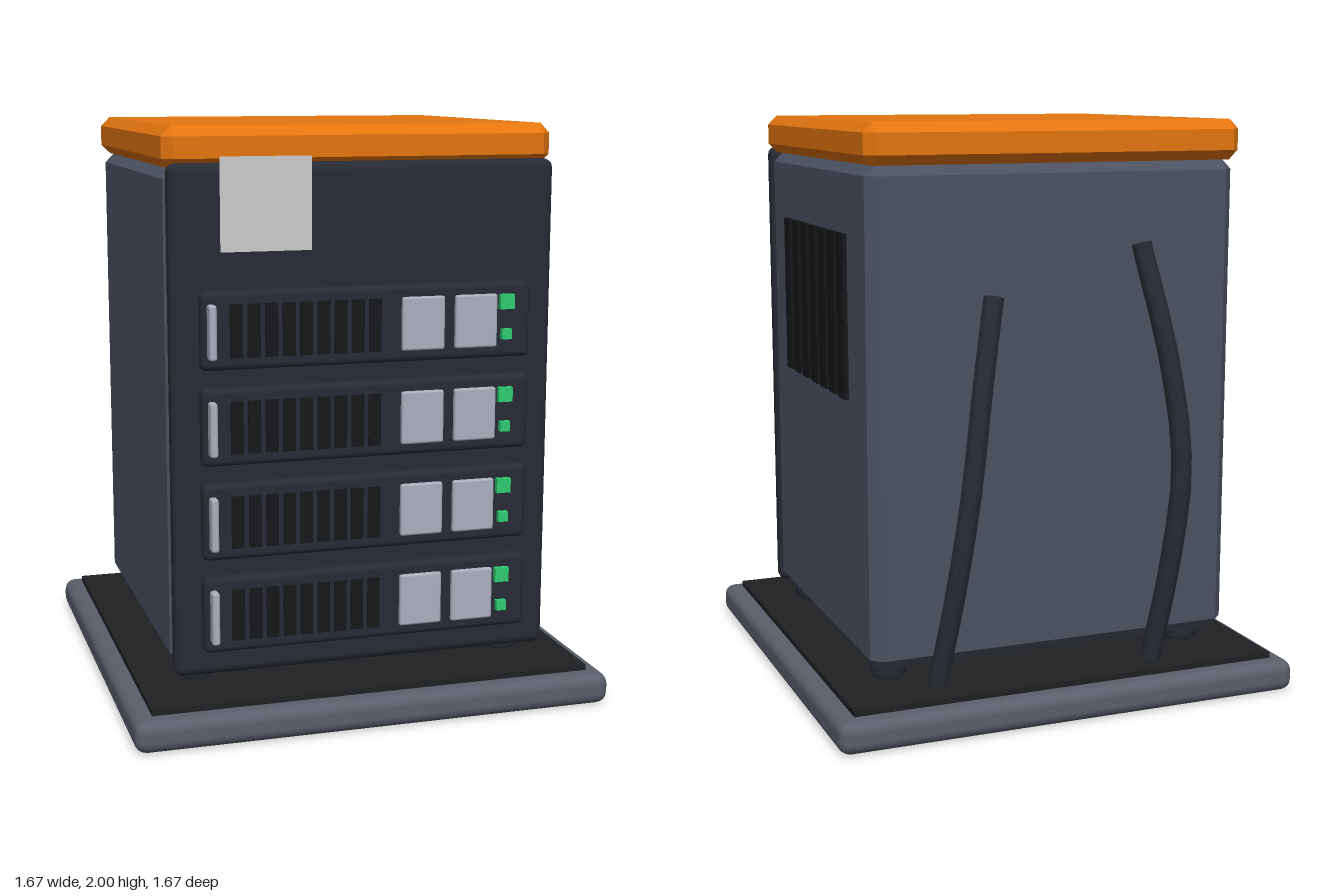
import * as THREE from 'three';
import { RoundedBoxGeometry } from 'three/addons/geometries/RoundedBoxGeometry.js';
import { ConvexGeometry } from 'three/addons/geometries/ConvexGeometry.js';

const mat = (color, side = THREE.FrontSide) => new THREE.MeshStandardMaterial({ color, side });
const M = {
  orange: mat(0xe67610), shell: mat(0x4c5262), dark: mat(0x272b34), base: mat(0x5a5f6b),
  deck: mat(0x1f2023), slot: mat(0x161719), silver: mat(0xabb0bf), green: mat(0x2ecc71),
  plain: mat(0xcccccc, THREE.DoubleSide),
};

// Box with every edge cut at 45 degrees
function chamferBox(w, h, d, c) {
  const pts = [];
  for (const x of [-w / 2, w / 2]) for (const y of [-h / 2, h / 2]) for (const z of [-d / 2, d / 2]) {
    const sx = Math.sign(x) * c, sy = Math.sign(y) * c, sz = Math.sign(z) * c;
    pts.push(new THREE.Vector3(x, y - sy, z - sz), new THREE.Vector3(x - sx, y, z - sz),
      new THREE.Vector3(x - sx, y - sy, z));
  }
  return new ConvexGeometry(pts);
}

function add(parent, name, geometry, material, x = 0, y = 0, z = 0) {
  const mesh = new THREE.Mesh(geometry, material);
  mesh.name = name;
  mesh.position.set(x, y, z);
  parent.add(mesh);
  return mesh;
}

// One drive unit: tray, handle, cooling slots, two covers and two status lights
function driveUnit() {
  const g = new THREE.Group();
  g.name = 'driveUnit';
  add(g, 'tray', new RoundedBoxGeometry(1.14, 0.258, 0.06, 2, 0.02), M.dark, 0, 0, 0.645);
  add(g, 'handle', new RoundedBoxGeometry(0.026, 0.18, 0.05, 1, 0.008), M.silver, -0.538, 0, 0.688);
  const slot = new THREE.BoxGeometry(0.042, 0.176, 0.02);
  for (let i = 0; i < 9; i++) add(g, 'coolingSlot', slot, M.slot, -0.455 + i * 0.0588, 0, 0.672);
  const cover = new RoundedBoxGeometry(0.15, 0.18, 0.04, 1, 0.008);
  for (const x of [0.183, 0.37]) add(g, 'cover', cover, M.silver, x, 0, 0.67);
  add(g, 'statusLight', new THREE.BoxGeometry(0.05, 0.05, 0.03), M.green, 0.478, 0.063, 0.68);
  add(g, 'statusLight', new THREE.BoxGeometry(0.035, 0.035, 0.03), M.green, 0.478, -0.047, 0.68);
  return g;
}

// Cable with closed ends, swept through a few points
function cable(parent, points, r) {
  const curve = new THREE.CatmullRomCurve3(points.map(p => new THREE.Vector3(...p)));
  const g = new THREE.Group();
  g.name = 'cable';
  add(g, 'cableSleeve', new THREE.TubeGeometry(curve, 12, r, 8), M.dark);
  for (const [t, s] of [[0, -1], [1, 1]]) {
    const p = curve.getPointAt(t);
    const end = add(g, 'cableEnd', new THREE.CircleGeometry(r, 8), M.dark, p.x, p.y, p.z);
    end.lookAt(p.clone().addScaledVector(curve.getTangentAt(t), s));
  }
  parent.add(g);
}

export function createModel() {
  const model = new THREE.Group();
  model.name = 'serverCabinet';

  // Base slab with dark deck
  add(model, 'baseSlab', new RoundedBoxGeometry(1.67, 0.11, 1.67, 2, 0.04), M.base, 0, 0.055, 0);
  add(model, 'deck', new THREE.BoxGeometry(1.54, 0.04, 1.54), M.deck, 0, 0.11, 0);

  // Feet with bevelled rims
  const footProfile = [[0, 0.125], [0.048, 0.125], [0.062, 0.14], [0.062, 0.185], [0.05, 0.2], [0, 0.2]]
    .map(p => new THREE.Vector2(...p));
  const foot = new THREE.LatheGeometry(footProfile, 16);
  for (const x of [-0.56, 0.56]) for (const z of [-0.48, 0.48]) add(model, 'foot', foot, M.dark, x, 0, z);

  // Cabinet, front panel and lid
  add(model, 'cabinet', chamferBox(1.32, 1.67, 1.19, 0.035), M.shell, 0, 1.03, -0.035);
  add(model, 'frontPanel', new RoundedBoxGeometry(1.325, 1.705, 0.078, 2, 0.03), M.dark, 0, 1.03, 0.597);
  add(model, 'lid', chamferBox(1.34, 0.137, 1.255, 0.033), M.orange, 0, 1.9315, -0.029);

  // Blank plate on the front panel
  add(model, 'frontPlate', new THREE.PlaneGeometry(0.305, 0.305), M.plain, -0.344, 1.752, 0.641);

  // Stack of drive units
  for (let i = 0; i < 4; i++) {
    const unit = driveUnit();
    unit.position.y = 0.396 + i * 0.3175;
    model.add(unit);
  }

  // Side vents
  const vent = new THREE.BoxGeometry(0.03, 0.555, 0.074);
  for (let i = 0; i < 7; i++) add(model, 'sideVent', vent, M.slot, 0.66, 1.355, 0.304 - i * 0.111);

  // Rear cables
  cable(model, [[-0.30, 1.59, -0.64], [-0.36, 1.2, -0.745], [-0.39, 0.85, -0.79], [-0.36, 0.5, -0.775], [-0.315, 0.165, -0.73]], 0.036);
  cable(model, [[0.235, 1.43, -0.64], [0.3, 1.15, -0.71], [0.36, 0.8, -0.757], [0.415, 0.45, -0.745], [0.46, 0.165, -0.705]], 0.036);

  return model;
}
